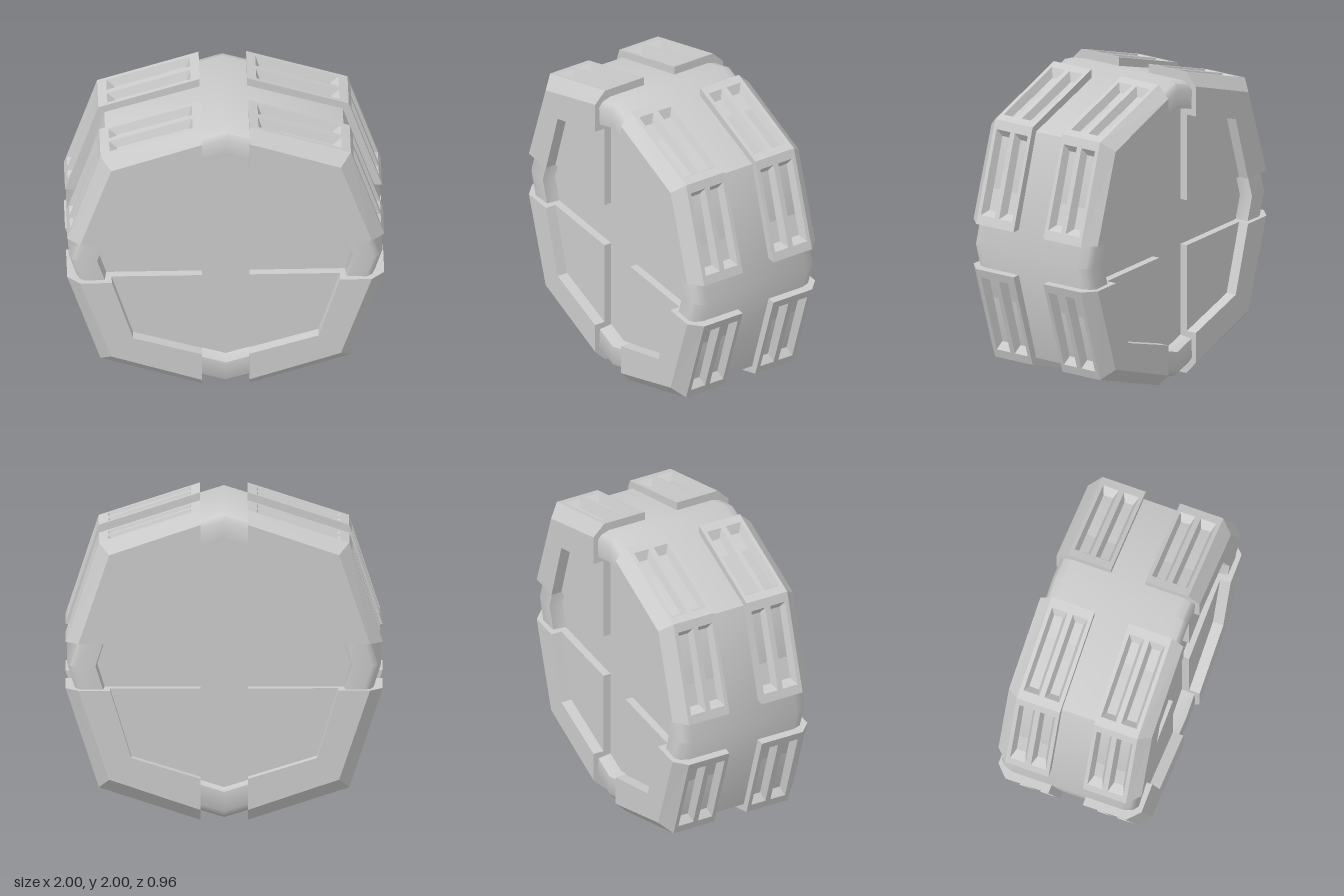
import * as THREE from 'three';
import { toCreasedNormals } from 'three/addons/utils/BufferGeometryUtils.js';

const material = new THREE.MeshStandardMaterial({ color: 0xcccccc });

// Collects convex faces (corners anticlockwise from outside) into one geometry
class FaceBuilder {
  constructor() { this.points = []; }
  face(...c) {
    for (let i = 1; i < c.length - 1; i++) {
      const t = new THREE.Triangle(c[0], c[i], c[i + 1]);
      if (t.getArea() > 1e-9) this.points.push(t.a, t.b, t.c);
    }
  }
  build(crease) {
    const g = new THREE.BufferGeometry().setFromPoints(this.points);
    if (crease) return toCreasedNormals(g, crease);
    g.computeVertexNormals();
    return g;
  }
}

const V = (x, y, z) => new THREE.Vector3(x, y, z);

// Octagonal drum with a raised rim and recessed end faces
function coreGeometry() {
  const octagon = [[1, 0], [0.76, 0.76], [0, 1], [-0.76, 0.76], [-1, 0], [-0.76, -0.76], [0, -1], [0.76, -0.76]];
  const half = [[0, 0.36], [0.8, 0.36], [0.812, 0.445], [0.935, 0.45], [0.97, 0.425], [0.99, 0.37]];
  const profile = [...half, ...half.map(([r, z]) => [r, -z]).reverse()];
  const b = new FaceBuilder();
  const at = (j, k) => V(octagon[j % 8][0] * profile[k][0], octagon[j % 8][1] * profile[k][0], profile[k][1]);
  for (let k = 0; k < profile.length - 1; k++)
    for (let j = 0; j < 8; j++) b.face(at(j, k), at(j, k + 1), at(j + 1, k + 1), at(j + 1, k));
  return b.build(0.7);
}

// Corner armour: chamfered section swept round one corner, two slots on each outer facet
function armourGeometry() {
  const outer = [[0.15, 1], [0.79, 0.79], [1, 0.15]];
  const chamfer = [[0.15, 0.92], [0.725, 0.725], [0.92, 0.15]];
  const inner = [[0.15, 0.72], [0.585, 0.585], [0.72, 0.15]];
  const zIn = 0.115, zOut = 0.405, zFace = 0.48;
  const sections = [0, 1, 2].map(s => [
    V(...outer[s], zIn), V(...outer[s], zOut), V(...chamfer[s], zFace),
    V(...inner[s], zFace), V(...inner[s], zIn),
  ]);
  const b = new FaceBuilder();
  for (let s = 0; s < 2; s++) {
    const p = sections[s], q = sections[s + 1];
    for (let k = 1; k < 5; k++) b.face(p[k], p[(k + 1) % 5], q[(k + 1) % 5], q[k]);
    slottedFacet(b, p[0], q[0], [zIn, 0.14, 0.24, 0.275, 0.38, zOut]);
  }
  b.face(...[...sections[0]].reverse());
  b.face(...sections[2]);
  return b.build();
}

// Facet split into a grid; the middle cells of the odd rows become tapered slots
function slottedFacet(b, start, end, zs) {
  const along = end.clone().sub(start);
  const length = along.length();
  along.normalize();
  const normal = V(0, 0, 1).cross(along);
  const us = [0, 0.09 * length, 0.91 * length, length];
  const at = (u, z, depth = 0) => {
    const p = start.clone().addScaledVector(along, u).addScaledVector(normal, -depth);
    p.z = z;
    return p;
  };
  const rect = (u0, u1, z0, z1, d) => [at(u0, z0, d), at(u0, z1, d), at(u1, z1, d), at(u1, z0, d)];
  for (let i = 0; i < 3; i++)
    for (let j = 0; j < 5; j++) {
      const top = rect(us[i], us[i + 1], zs[j], zs[j + 1], 0);
      if (i !== 1 || j % 2 === 0) { b.face(...top); continue; }
      const floor = rect(us[1] + 0.04, us[2] - 0.04, zs[j] + 0.022, zs[j + 1] - 0.022, 0.052);
      for (let n = 0; n < 4; n++) {
        const m = (n + 1) % 4;
        b.face(top[n], top[m], floor[m], floor[n]);
      }
      b.face(...floor);
    }
}

// Flat inset panel inside each armour corner
function panelGeometry() {
  const shape = new THREE.Shape([[0.15, 0.15], [0.72, 0.15], [0.585, 0.585], [0.15, 0.72]]
    .map(p => new THREE.Vector2(...p)));
  return new THREE.ExtrudeGeometry(shape, { depth: 0.07, bevelEnabled: false }).translate(0, 0, 0.34);
}

export function createModel() {
  const model = new THREE.Group();
  model.name = 'octagonalDrum';
  const add = (parent, geometry, name) => {
    const mesh = new THREE.Mesh(geometry, material);
    mesh.name = name;
    parent.add(mesh);
    return mesh;
  };
  add(model, coreGeometry(), 'core');

  // Four corners on the front, four on the back
  const armour = armourGeometry(), panel = panelGeometry();
  for (const side of ['front', 'back']) {
    const group = new THREE.Group();
    group.name = side + 'Armour';
    if (side === 'back') group.rotation.y = Math.PI;
    for (let i = 0; i < 4; i++) {
      add(group, armour, 'cornerArmour').rotation.z = i * Math.PI / 2;
      add(group, panel, 'insetPanel').rotation.z = i * Math.PI / 2;
    }
    model.add(group);
  }
  model.children.forEach(part => { part.position.y = 1; });
  return model;
}
